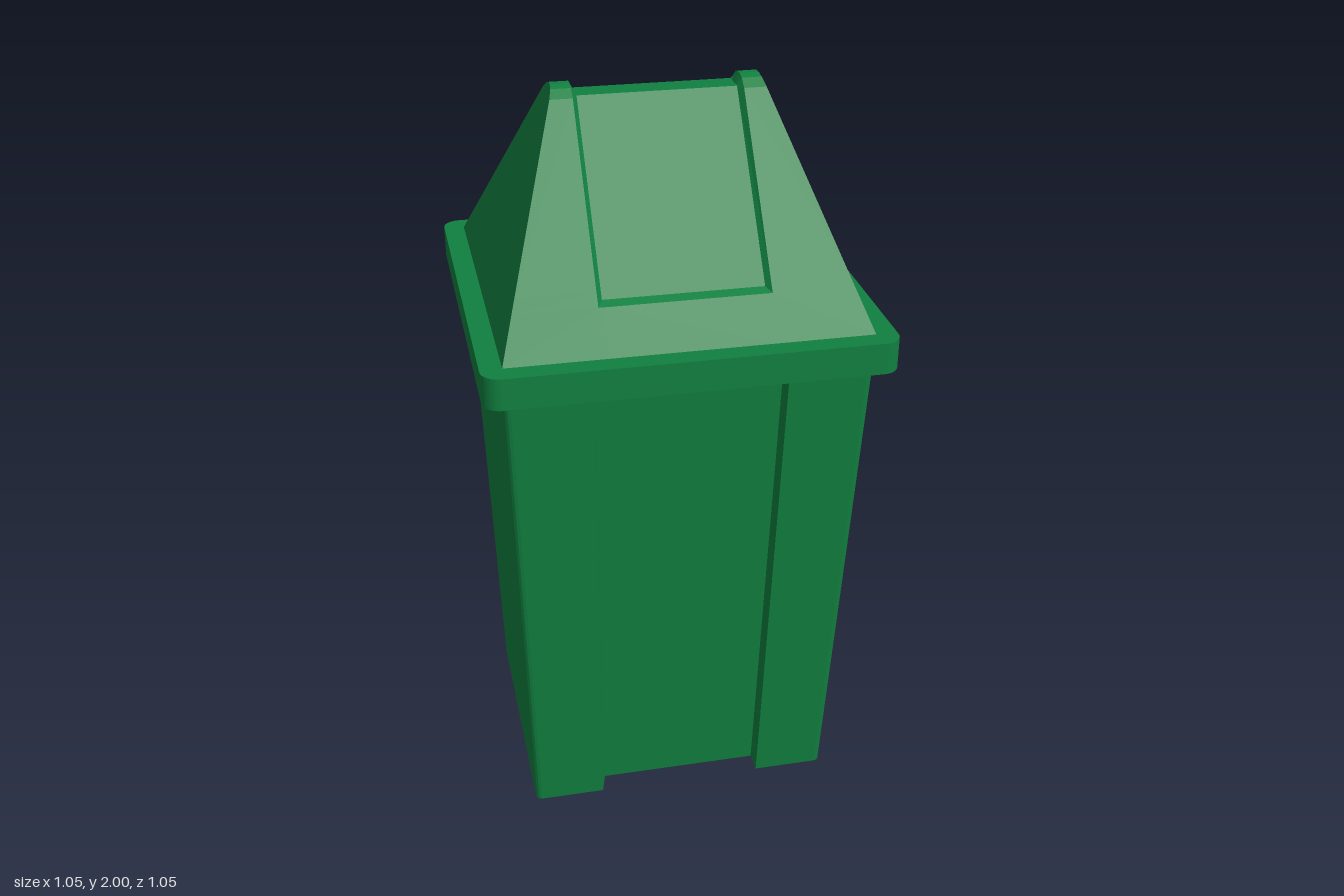
import * as THREE from 'three';

const green = new THREE.MeshStandardMaterial({ color: 0x118040, flatShading: true });

// Collects flat quads (corners counter-clockwise from outside)
function quadMesh(name, build) {
  const pos = [];
  build((a, b, c, d) => {
    for (const p of [a, b, c, a, c, d]) pos.push(...p);
  });
  const geo = new THREE.BufferGeometry();
  geo.setAttribute('position', new THREE.Float32BufferAttribute(pos, 3));
  geo.computeVertexNormals();
  const mesh = new THREE.Mesh(geo, green);
  mesh.name = name;
  return mesh;
}

// Front half of the body outline, left to right, with a shallow central channel
function bodyOutline(hx, hz, channel, y, channelY) {
  const r = 0.016, depth = 0.025;
  const right = [[channel, hz - depth, channelY], [channel + 0.01, hz, y]];
  for (let i = 0; i <= 3; i++) {
    const a = (i / 3) * Math.PI / 2;
    right.push([hx - r + r * Math.sin(a), hz - r + r * Math.cos(a), y]);
  }
  const points = right.map(([x, z, h]) => [x, h, z]);
  return [...points.map(([x, h, z]) => [-x, h, z]).reverse(), ...points];
}

const mirrorZ = ([x, y, z]) => [x, y, -z];

function makeBody() {
  const low = bodyOutline(0.425, 0.37, 0.22, 0, 0.03);
  const high = bodyOutline(0.472, 0.466, 0.24, 1.37, 1.37);
  return quadMesh('taperedBody', quad => {
    const ring = half => [...half, ...half.map(mirrorZ).reverse()];
    const a = ring(low), b = ring(high);
    a.forEach((p, i) => {
      const j = (i + 1) % a.length;
      quad(p, a[j], b[j], b[i]);
    });
    // Underside, with the channel running through it
    for (let i = 0; i < low.length - 1; i++) {
      quad(low[i], mirrorZ(low[i]), mirrorZ(low[i + 1]), low[i + 1]);
    }
  });
}

function makeRim() {
  const w = 0.526, d = 0.523, r = 0.048;
  const s = new THREE.Shape();
  s.moveTo(-w + r, -d);
  s.lineTo(w - r, -d);
  s.absarc(w - r, -d + r, r, -Math.PI / 2, 0);
  s.absarc(w - r, d - r, r, 0, Math.PI / 2);
  s.absarc(-w + r, d - r, r, Math.PI / 2, Math.PI);
  s.absarc(-w + r, -d + r, r, Math.PI, Math.PI * 1.5);
  const geo = new THREE.ExtrudeGeometry(s, { depth: 0.085, bevelEnabled: false, curveSegments: 6 });
  geo.rotateX(-Math.PI / 2);
  geo.translate(0, 1.365, 0);
  const mesh = new THREE.Mesh(geo, green);
  mesh.name = 'lidRim';
  return mesh;
}

function makeHood() {
  // Profiles as [z, y], front to ridge: the hood and its sunken flap panel
  const outer = [[0.467, 1.45], [0.387, 1.551], [0.362, 1.583], [0.058, 1.975], [0.032, 1.994], [0.012, 2]];
  const inner = [[0.467, 1.45], [0.387, 1.551], [0.362, 1.56], [0.035, 1.975], [0.028, 1.975], [0.012, 1.975]];
  const halfWidth = y => 0.47 - ((y - 1.45) / 0.55) * 0.2;
  const front = outer.map(([z, y], k) => {
    const [zi, yi] = inner[k], hx = halfWidth(y);
    return [
      [-hx, y, z], [-0.22, y, z], [-0.207, yi, zi],
      [0.207, yi, zi], [0.22, y, z], [hx, y, z],
    ];
  });
  const rows = [...front, ...front.map(row => row.map(mirrorZ)).reverse()];
  return quadMesh('slopedHood', quad => {
    for (let k = 0; k < rows.length - 1; k++) {
      for (let i = 0; i < 5; i++) {
        const a = rows[k][i], b = rows[k][i + 1], c = rows[k + 1][i + 1], d = rows[k + 1][i];
        // Turn the diagonal so the panel corners are mitred
        const turned = (k < front.length - 1) !== (i < 2);
        if (turned) quad(b, c, d, a);
        else quad(a, b, c, d);
      }
    }
    // Side walls
    for (let k = 0; k < front.length - 1; k++) {
      const p = front[k][5], q = front[k + 1][5];
      quad(p, mirrorZ(p), mirrorZ(q), q);
      const m = front[k][0], n = front[k + 1][0];
      quad(mirrorZ(m), m, n, mirrorZ(n));
    }
  });
}

export function createModel() {
  const model = new THREE.Group();
  model.name = 'swingLidBin';
  const lid = new THREE.Group();
  lid.name = 'lid';
  lid.add(makeRim(), makeHood());
  model.add(makeBody(), lid);
  return model;
}
